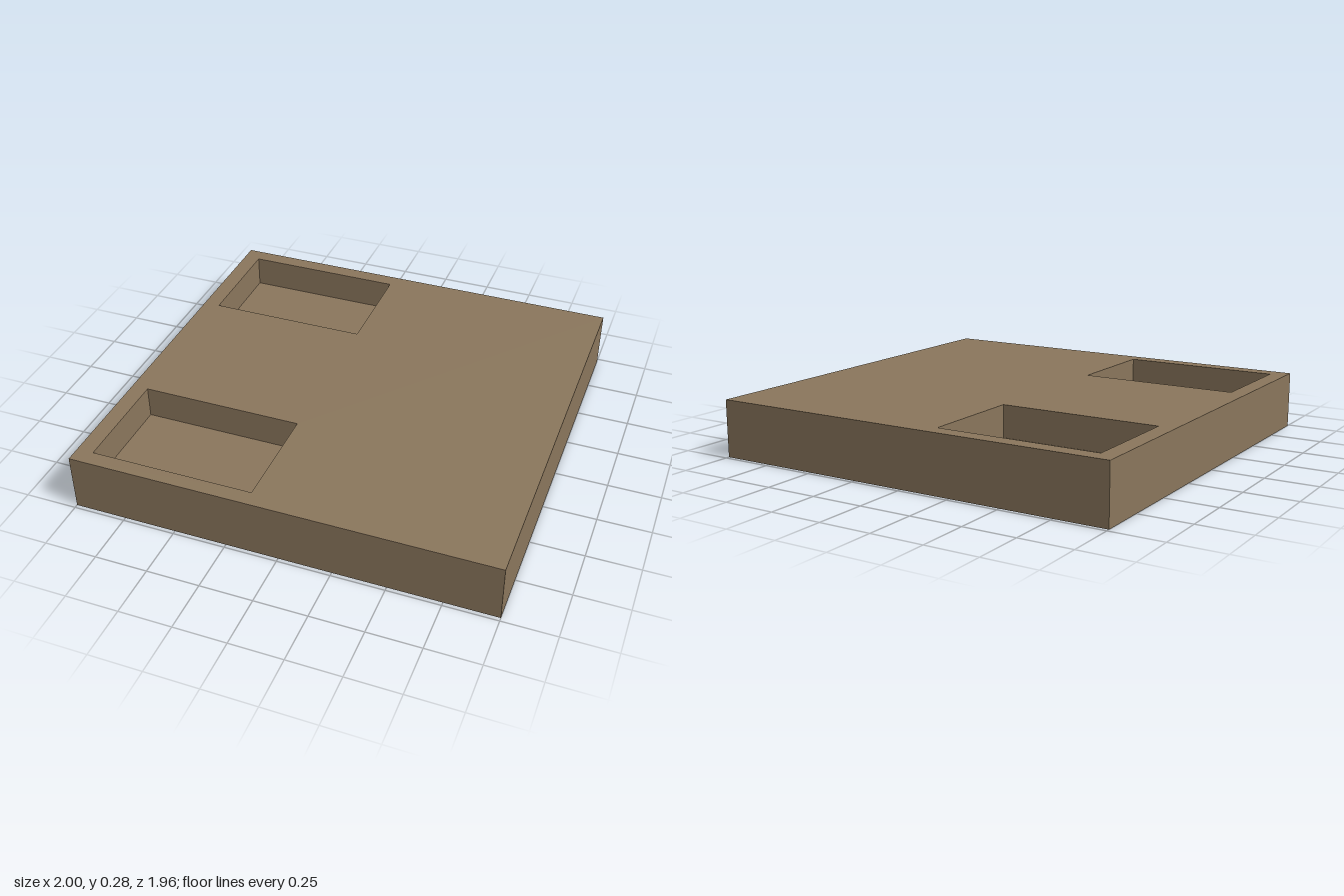
import * as THREE from 'three';

const W = 2, D = 1.964, H = 0.275;             // slab size
const FLOOR = 0.12;                            // height of the pocket floors
const POCKET = { x0: -0.92, x1: -0.145, z0: 0.395, z1: 0.907 };

// Box without its top face; inward = true turns it into a recess seen from inside
function openBox(w, h, d, inward = false) {
  const box = new THREE.BoxGeometry(w, h, d);
  const index = Array.from(box.index.array);
  index.splice(12, 6);                         // the +y face
  if (inward) {
    for (let i = 0; i < index.length; i += 3) {
      [index[i], index[i + 1]] = [index[i + 1], index[i]];
    }
  }
  box.setIndex(index);
  box.clearGroups();
  const flat = box.toNonIndexed();
  flat.computeVertexNormals();
  return flat;
}

export function createModel() {
  const model = new THREE.Group();
  model.name = 'pocketedSlab';
  const brown = new THREE.MeshStandardMaterial({ color: 0x8a765c });
  brown.name = 'warm brown';

  const add = (name, geometry, x, y, z) => {
    const mesh = new THREE.Mesh(geometry, brown);
    mesh.name = name;
    mesh.position.set(x, y, z);
    model.add(mesh);
  };

  // Sides and underside
  add('slabBody', openBox(W, H, D), 0, H / 2, 0);

  // Top surface, pierced by the two pockets
  const top = new THREE.Shape([
    new THREE.Vector2(-W / 2, -D / 2), new THREE.Vector2(W / 2, -D / 2),
    new THREE.Vector2(W / 2, D / 2), new THREE.Vector2(-W / 2, D / 2),
  ]);

  const { x0, x1, z0, z1 } = POCKET;
  for (const [name, side] of [['frontPocket', 1], ['backPocket', -1]]) {
    // Shape y becomes -z once the top is laid flat
    const a = -side * z0, b = -side * z1;
    top.holes.push(new THREE.Path([
      new THREE.Vector2(x0, a), new THREE.Vector2(x0, b),
      new THREE.Vector2(x1, b), new THREE.Vector2(x1, a),
    ]));
    // Pocket walls and floor
    add(name, openBox(x1 - x0, H - FLOOR, z1 - z0, true),
      (x0 + x1) / 2, (H + FLOOR) / 2, side * (z0 + z1) / 2);
  }
  add('topSurface', new THREE.ShapeGeometry(top).rotateX(-Math.PI / 2), 0, H, 0);

  return model;
}
